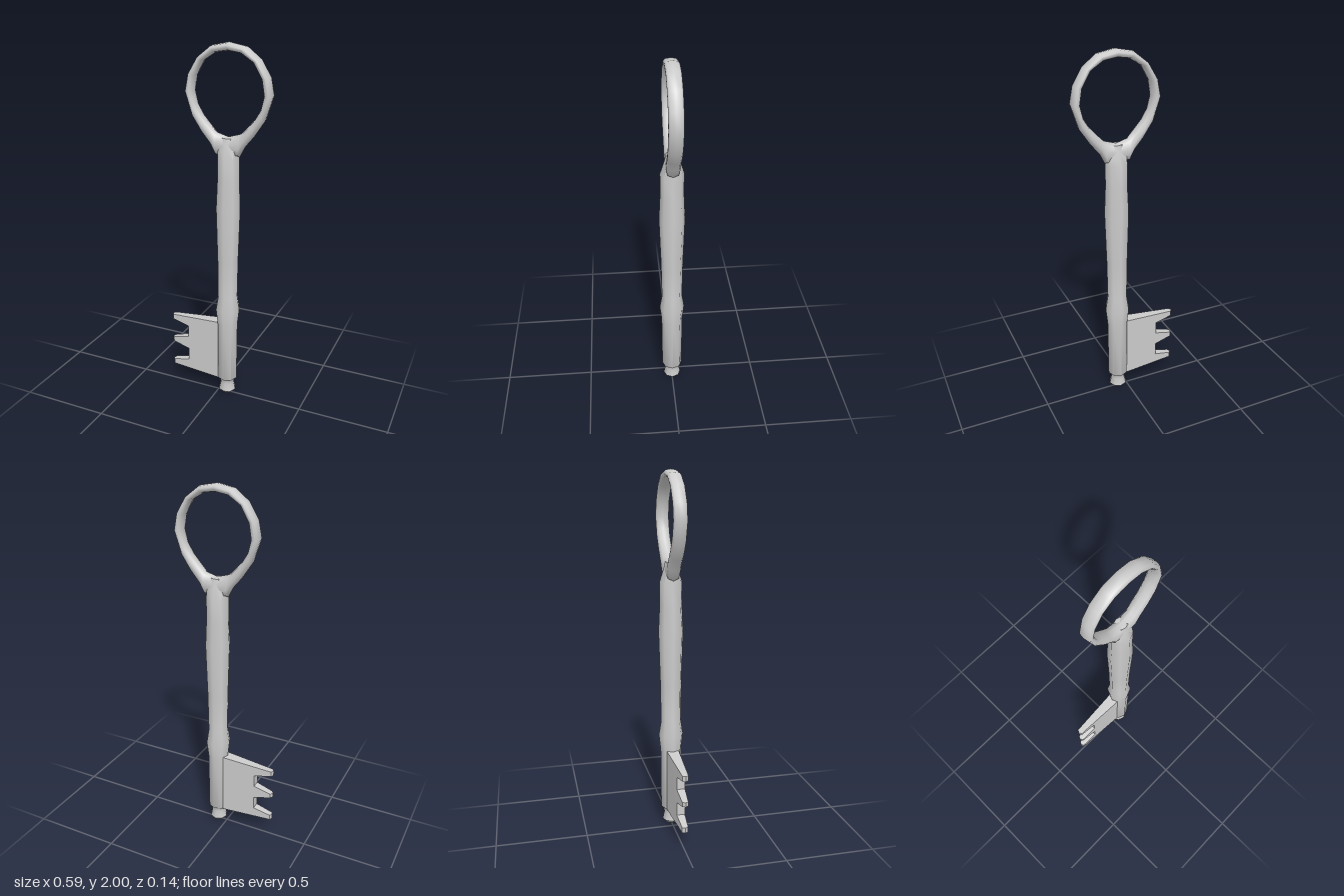
import * as THREE from 'three';
import { toCreasedNormals } from 'three/addons/utils/BufferGeometryUtils.js';

const AXIS = 0.055; // x of the shaft and ring centre line

export function createModel() {
  const key = new THREE.Group();
  key.name = 'key';
  const material = new THREE.MeshStandardMaterial({ color: 0xcccccc });

  function add(name, geometry, crease, x = 0) {
    const mesh = new THREE.Mesh(toCreasedNormals(geometry, crease), material);
    mesh.name = name;
    mesh.position.x = x;
    key.add(mesh);
  }

  // Eight-sided shaft with end knob, two swellings and a neck flattened towards the ring
  const profile = [
    [0, 0], [0.03, 0.005], [0.05, 0.025], [0.04, 0.07], [0.043, 0.093], [0.058, 0.105],
    [0.06, 0.46], [0.07, 0.55], [0.057, 0.63], [0.06, 0.85], [0.069, 1.15],
    [0.062, 1.3], [0.062, 1.42], [0.062, 1.49], [0.05, 1.525], [0, 1.528],
  ].map(([r, y]) => new THREE.Vector2(r, y));
  const shaft = new THREE.LatheGeometry(profile, 8);
  const sp = shaft.attributes.position;
  for (let i = 0; i < sp.count; i++) {
    const t = THREE.MathUtils.clamp((sp.getY(i) - 1.42) / 0.07, 0, 1);
    sp.setZ(i, sp.getZ(i) * (1 - 0.36 * t));
  }
  add('shaft', shaft, 0.9, AXIS);

  // Ring: inner and outer edge points of its right half, bottom to top
  const half = [
    [0, 1.53, 0, 1.43], [0.068, 1.55, 0.064, 1.43], [0.1, 1.582, 0.09, 1.482],
    [0.15, 1.637, 0.14, 1.541], [0.181, 1.69, 0.195, 1.622],
    [0.194, 1.75, 0.237, 1.75], [0.181, 1.83, 0.219, 1.838],
    [0.135, 1.908, 0.167, 1.923], [0.07, 1.948, 0.092, 1.982], [0, 1.958, 0, 2],
  ];
  const mirrored = half.slice(1, -1).reverse().map(([a, b, c, d]) => [-a, b, -c, d]);
  const stations = [...half, ...mirrored];
  // Rounded section: position from inner (0) to outer (1) edge, and depth
  const section = [
    [0, 0], [0.12, 0.026], [0.4, 0.036], [0.65, 0.036],
    [0.9, 0.027], [1, 0], [0.9, -0.027], [0.65, -0.036], [0.4, -0.036], [0.12, -0.026],
  ];
  const positions = [], index = [];
  const n = section.length;
  stations.forEach(([ix, iy, ox, oy], s) => {
    const next = (s + 1) % stations.length;
    section.forEach(([t, z], k) => {
      positions.push(ix + (ox - ix) * t, iy + (oy - iy) * t, z);
      const a = s * n + k, b = s * n + (k + 1) % n;
      const c = next * n + k, d = next * n + (k + 1) % n;
      index.push(a, b, c, b, d, c);
    });
  });
  const ring = new THREE.BufferGeometry();
  ring.setAttribute('position', new THREE.Float32BufferAttribute(positions, 3));
  ring.setIndex(index);
  add('ring', ring, 1.1, AXIS);

  // Bit: three-toothed plate, thinning outwards and ridged along its edges
  const outline = [
    [0.05, 0.47], [0, 0.462], [-0.295, 0.442], [-0.295, 0.412], [-0.185, 0.39], [-0.185, 0.318],
    [-0.295, 0.291], [-0.295, 0.265], [-0.185, 0.24], [-0.185, 0.165],
    [-0.295, 0.142], [-0.295, 0.112], [0, 0.1], [0.05, 0.1],
  ].map(([x, y]) => new THREE.Vector2(x, y));
  const bit = new THREE.ExtrudeGeometry(new THREE.Shape(outline), {
    depth: 2, steps: 2, bevelEnabled: false,
  });
  const bp = bit.attributes.position;
  for (let i = 0; i < bp.count; i++) {
    const side = bp.getZ(i) - 1;
    const x = bp.getX(i);
    const tip = x < -0.25;
    bp.setX(i, tip ? x + 0.01 * Math.abs(side) : x);
    bp.setZ(i, side * (0.033 + 0.055 * Math.min(x, 0)));
  }
  add('bit', bit, 0.5);

  return key;
}
